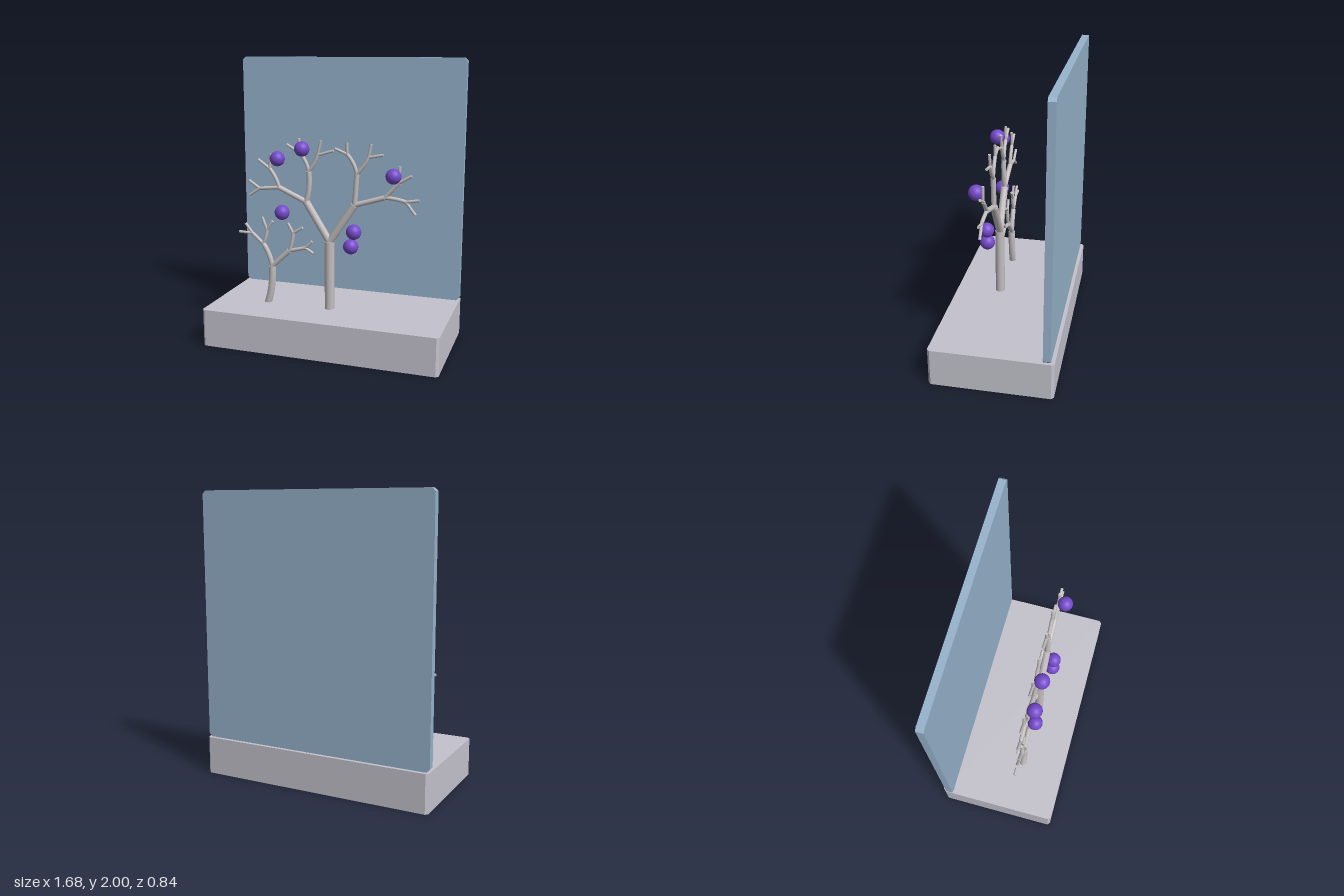
import * as THREE from 'three';
import { mergeGeometries } from 'three/addons/utils/BufferGeometryUtils.js';

const mat = (name, color) => {
  const m = new THREE.MeshStandardMaterial({ color });
  m.name = name;
  return m;
};

// Flat slab with cut corners, w x h outline, d thick, centred on its own origin
function slab(w, h, d, cut) {
  const x = w / 2, y = h / 2, s = new THREE.Shape();
  s.moveTo(-x + cut, -y);
  s.lineTo(x - cut, -y);
  s.lineTo(x, -y + cut);
  s.lineTo(x, y - cut);
  s.lineTo(x - cut, y);
  s.lineTo(-x + cut, y);
  s.lineTo(-x, y - cut);
  s.lineTo(-x, -y + cut);
  s.closePath();
  return new THREE.ExtrudeGeometry(s, { depth: d, bevelEnabled: false }).translate(0, 0, -d / 2);
}

// One bowed limb with flat end caps; bow moves its middle sideways
function limb(a, b, r, bow) {
  const p = new THREE.Vector3(a[0], a[1], 0), q = new THREE.Vector3(b[0], b[1], 0);
  const dir = q.clone().sub(p).normalize();
  const mid = p.clone().add(q).multiplyScalar(0.5).add(new THREE.Vector3(dir.y, -dir.x, 0).multiplyScalar(bow * 2));
  const curve = new THREE.QuadraticBezierCurve3(p, mid, q);
  const parts = [new THREE.TubeGeometry(curve, bow ? 8 : 1, r, 14)];
  for (const t of [0, 1]) {
    const normal = curve.getTangent(t).multiplyScalar(t ? 1 : -1);
    const turn = new THREE.Quaternion().setFromUnitVectors(new THREE.Vector3(0, 0, 1), normal);
    const at = curve.getPoint(t);
    parts.push(new THREE.CircleGeometry(r, 14).applyQuaternion(turn).translate(at.x, at.y, at.z));
  }
  return parts;
}

// A branch is [x, y, bow, ...children]; each level is thinner
function grow(from, branch, radii, level, out) {
  const [x, y, bow, ...children] = branch;
  out.push(...limb(from, [x, y], radii[level], bow));
  for (const c of children) grow([x, y], c, radii, level + 1, out);
  return out;
}

const bigTree = [0, 0.75, 0,
  [-0.17, 1.02, 0,
    [-0.37, 1.11, 0,
      [-0.44, 1.24, 0.008, [-0.525, 1.3, 0], [-0.43, 1.345, 0]],
      [-0.52, 1.095, 0, [-0.6, 1.15, 0], [-0.595, 1.045, 0]]],
    [-0.15, 1.235, 0.012,
      [-0.215, 1.36, 0.01, [-0.31, 1.415, 0], [-0.22, 1.46, 0]],
      [-0.085, 1.35, 0.006, [-0.06, 1.45, 0], [0.03, 1.385, 0]]]],
  [0.18, 1.02, 0,
    [0.195, 1.235, 0,
      [0.127, 1.365, 0.01, [0.04, 1.4, 0], [0.125, 1.445, 0]],
      [0.275, 1.35, 0.006, [0.293, 1.44, 0], [0.375, 1.37, 0]]],
    [0.39, 1.085, 0,
      [0.485, 1.19, 0, [0.49, 1.3, 0], [0.57, 1.24, 0]],
      [0.535, 1.065, -0.005, [0.625, 1.08, 0], [0.6, 0.98, 0]]]]];

const smallTree = [-0.433, 0.535, 0.014,
  [-0.5, 0.695, 0.01,
    [-0.58, 0.765, 0, [-0.685, 0.77, 0], [-0.635, 0.835, 0]],
    [-0.47, 0.8, 0.006, [-0.505, 0.89, 0], [-0.425, 0.865, 0]]],
  [-0.3, 0.66, 0,
    [-0.27, 0.79, 0.006, [-0.31, 0.86, 0], [-0.2, 0.835, 0]],
    [-0.18, 0.69, 0, [-0.13, 0.74, 0], [-0.12, 0.655, 0]]]];

export function createModel() {
  const stone = mat('pale grey', 0xc4c3cd);
  const glass = mat('soft blue', 0x96b3cc);
  const bark = mat('warm grey', 0xc4bfc0);
  const fruit = mat('purple', 0x754acb);

  const model = new THREE.Group();
  model.name = 'treeDisplay';
  const add = (name, geometry, material, x, y, z) => {
    const m = new THREE.Mesh(geometry, material);
    m.name = name;
    m.position.set(x, y, z);
    model.add(m);
  };

  // Base block and upright back panel
  add('base', slab(1.68, 0.84, 0.265, 0.018).rotateX(-Math.PI / 2), stone, 0, 0.1325, 0);
  add('backPanel', slab(1.68, 1.735, 0.05, 0.022), glass, 0, 1.1325, -0.37);

  // Two flat branching trees
  add('largeTree', mergeGeometries(grow([0, 0.25], bigTree, [0.034, 0.026, 0.018, 0.013, 0.01], 0, [])), bark, 0, 0, 0.107);
  add('smallTree', mergeGeometries(grow([-0.473, 0.25], smallTree, [0.025, 0.018, 0.013, 0.01], 0, [])), bark, 0, 0, 0.107);

  // Hanging balls
  const balls = [[-0.36, 1.32], [-0.18, 1.395], [0.46, 1.24], [-0.33, 0.945], [0.19, 0.845], [0.17, 0.742]];
  balls.forEach(([x, y], i) => add('ball' + (i + 1), new THREE.SphereGeometry(0.052, 32, 20), fruit, x, y, 0.158));

  return model;
}
